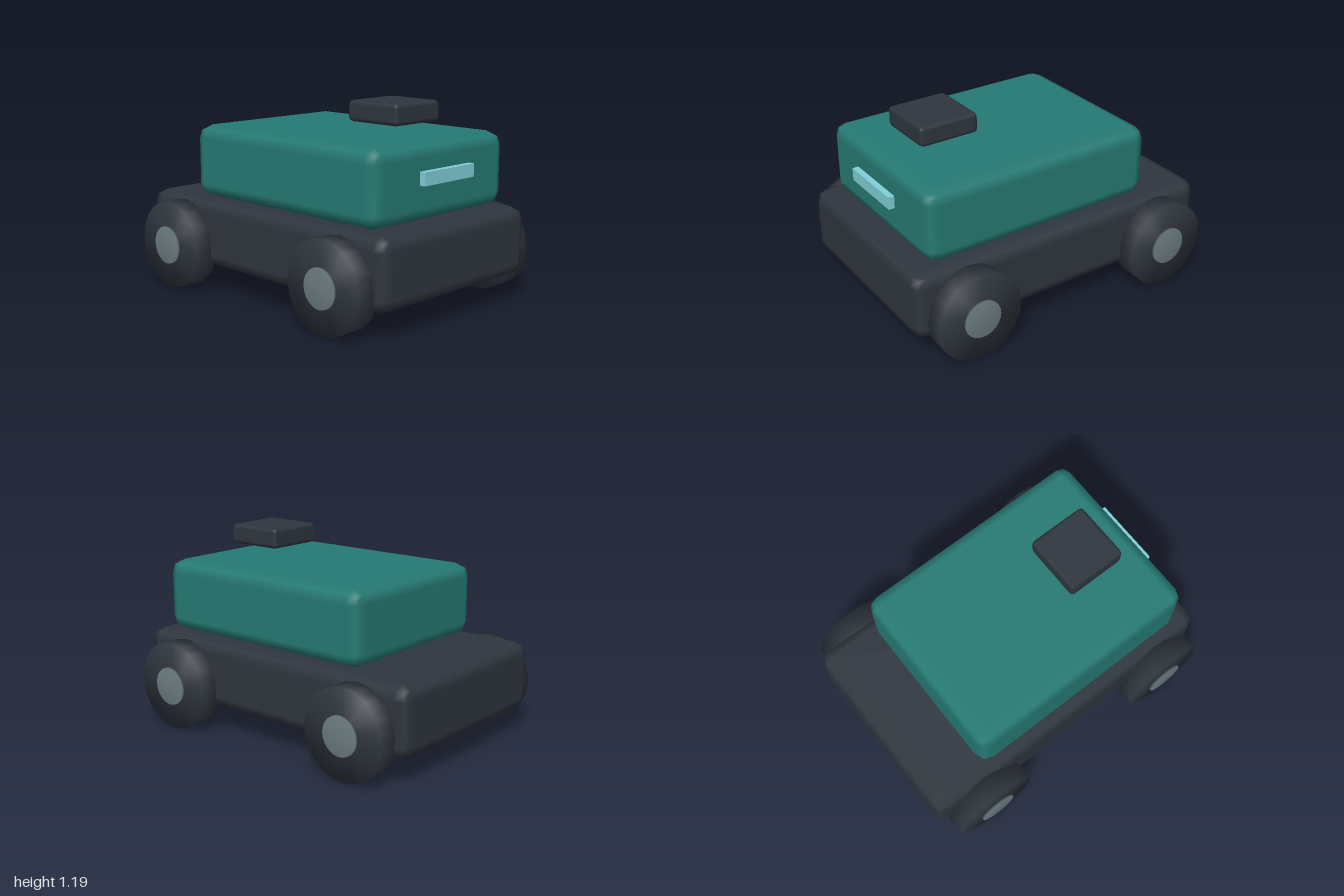
import * as THREE from 'three';
import { RoundedBoxGeometry } from 'three/addons/geometries/RoundedBoxGeometry.js';
import { mergeVertices } from 'three/addons/utils/BufferGeometryUtils.js';

const material = (name, color) => {
  const m = new THREE.MeshStandardMaterial({ color });
  m.name = name;
  return m;
};

export function createModel() {
  const charcoal = material('charcoal', 0x2f363e);
  const teal = material('teal', 0x267a74);
  const aqua = material('aqua', 0x82d0d8);
  const steel = material('steel grey', 0x6c7c82);

  const model = new THREE.Group();
  model.name = 'deliveryRover';

  const add = (name, geometry, mat, x, y, z, parent = model) => {
    const mesh = new THREE.Mesh(geometry, mat);
    mesh.name = name;
    mesh.position.set(x, y, z);
    parent.add(mesh);
    return mesh;
  };

  // Disc lying along x, with normals blended over the rim
  const softDisc = (radius, width, sides) => {
    const g = new THREE.CylinderGeometry(radius, radius, width, sides);
    g.rotateZ(Math.PI / 2);
    g.deleteAttribute('uv');
    g.deleteAttribute('normal');
    const merged = mergeVertices(g, 1e-4);
    merged.computeVertexNormals();
    return merged;
  };

  // Chassis and cargo body, each with a two-step bevel
  add('chassis', new RoundedBoxGeometry(1.25, 0.415, 2, 1, 0.08), charcoal, 0, 0.353, 0);
  add('cargoBody', new RoundedBoxGeometry(1.12, 0.438, 1.495, 1, 0.08), teal, 0, 0.779, 0.126);

  // Sensor hovering over the front of the roof
  add('roofSensor', new RoundedBoxGeometry(0.374, 0.122, 0.372, 1, 0.025), charcoal, 0, 1.129, 0.5);

  // Front light bar
  add('lightBar', new THREE.BoxGeometry(0.42, 0.076, 0.037), aqua, 0, 0.812, 0.899);

  // Four wheels with hub discs
  const tyreGeometry = softDisc(0.267, 0.15, 20);
  const hubGeometry = softDisc(0.115, 0.013, 24);
  for (const [sideName, side] of [['left', 1], ['right', -1]]) {
    for (const [endName, z] of [['Front', 0.667], ['Back', -0.667]]) {
      const wheel = new THREE.Group();
      wheel.name = `${sideName}${endName}Wheel`;
      wheel.position.set(side * 0.66, 0.267, z);
      add('tyre', tyreGeometry, charcoal, 0, 0, 0, wheel);
      add('hub', hubGeometry, steel, side * 0.093, 0.002, 0, wheel);
      model.add(wheel);
    }
  }

  return model;
}
